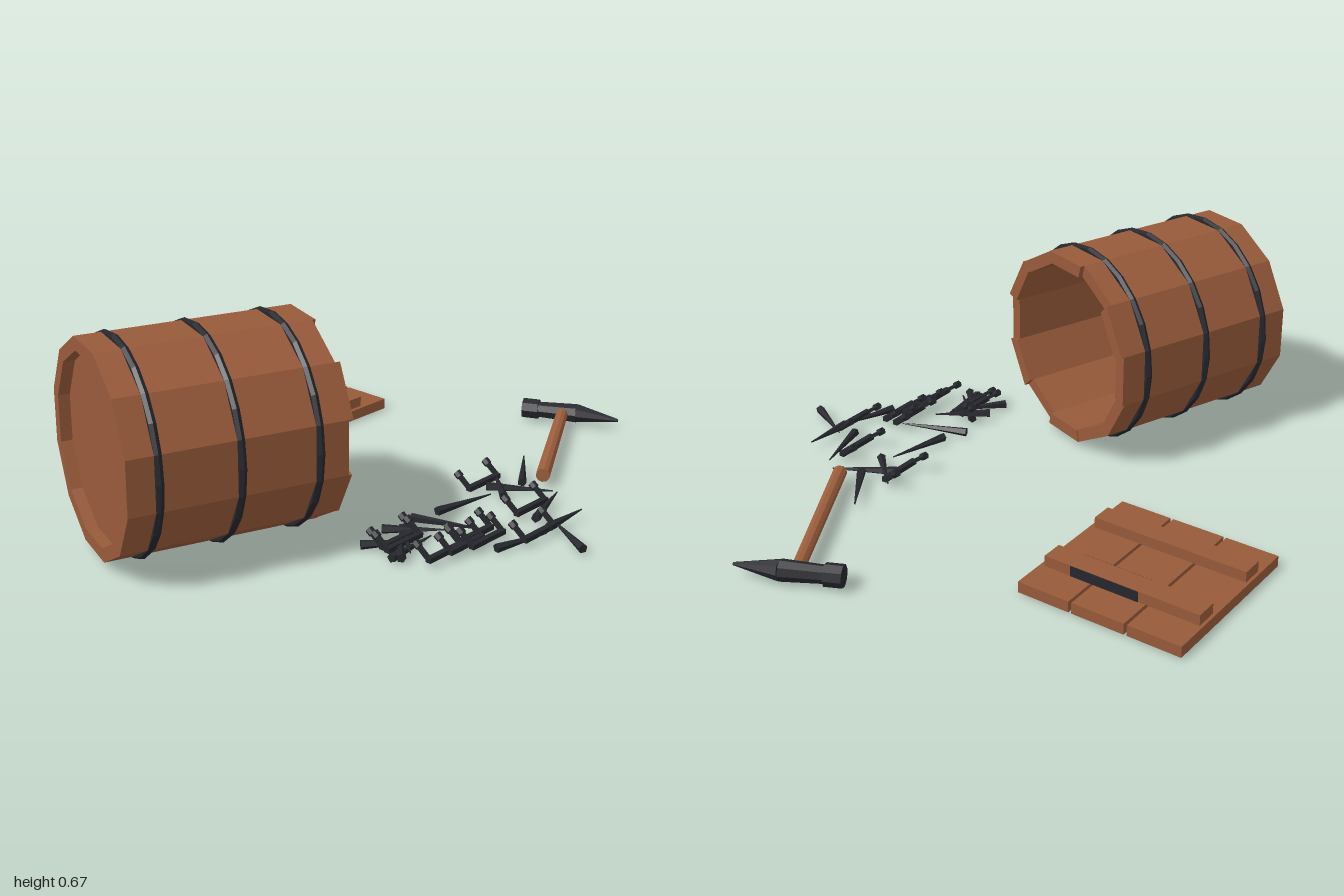
import * as THREE from 'three';

const colour = (name, hex) => {
  const m = new THREE.MeshStandardMaterial({ color: hex });
  m.name = name;
  return m;
};

export function createModel() {
  const wood = colour('brown wood', 0x985a3a);
  const handleWood = colour('handle wood', 0x9c5e3c);
  const iron = colour('dark iron', 0x26272d);
  const root = new THREE.Group();
  root.name = 'barrelAndTools';

  const group = (name, parent = root) => {
    const g = new THREE.Group();
    g.name = name;
    parent.add(g);
    return g;
  };

  // Faceted mesh: separate faces give flat normals
  const add = (parent, name, geometry, material) => {
    const g = geometry.index ? geometry.toNonIndexed() : geometry;
    g.computeVertexNormals();
    const mesh = new THREE.Mesh(g, material);
    mesh.name = name;
    parent.add(mesh);
    return mesh;
  };

  const box = (parent, name, material, x0, x1, y0, y1, z0, z1) => {
    const mesh = add(parent, name, new THREE.BoxGeometry(x1 - x0, y1 - y0, z1 - z0), material);
    mesh.position.set((x0 + x1) / 2, (y0 + y1) / 2, (z0 + z1) / 2);
    return mesh;
  };

  // Tapered rod between two points
  const up = new THREE.Vector3(0, 1, 0);
  const rod = (parent, name, material, from, to, rFrom, rTo, sides) => {
    const a = new THREE.Vector3(...from), b = new THREE.Vector3(...to);
    const dir = b.clone().sub(a), length = dir.length();
    const g = new THREE.CylinderGeometry(rTo, rFrom, length, sides, 1, false, Math.PI / sides);
    const mesh = add(parent, name, g, material);
    mesh.position.copy(a).add(b).multiplyScalar(0.5);
    mesh.quaternion.setFromUnitVectors(up, dir.normalize());
    return mesh;
  };

  // Barrel on its side, open end along its local +z
  const barrel = group('barrel');
  barrel.position.set(-0.58, 0.34, -0.035);
  barrel.rotation.y = Math.PI / 2 - 0.35;
  const outer = 0.328, inner = 0.286, half = Math.PI / 12;
  const uneven = [0, 0.008, -0.012, 0.004, -0.006, 0.01, -0.004, 0.006, -0.01, 0.005, 0, -0.008];
  for (let i = 0; i < 12; i++) {
    const t = i * Math.PI / 6;
    const corner = (r, a) => new THREE.Vector2(r * Math.cos(a), r * Math.sin(a));
    const profile = new THREE.Shape([
      corner(inner, t - half), corner(outer, t - half),
      corner(outer, t + half), corner(inner, t + half),
    ]);
    const length = 0.672 + uneven[i];
    const stave = add(barrel, 'stave', new THREE.ExtrudeGeometry(profile, { depth: length, bevelEnabled: false }), wood);
    stave.position.z = -0.336;
  }
  const end = add(barrel, 'barrelBottom', new THREE.CylinderGeometry(0.29, 0.29, 0.03, 12, 1, false, half), wood);
  end.rotation.x = Math.PI / 2;
  end.position.z = -0.285;
  for (const z of [-0.243, 0, 0.24]) {
    add(barrel, 'hoop', new THREE.TorusGeometry(0.322, 0.013, 6, 24), iron).position.z = z;
  }

  // Lid of three planks and two battens
  const lid = group('lid');
  for (const [z0, z1] of [[-0.89, -0.715], [-0.705, -0.53], [-0.52, -0.345]]) {
    box(lid, 'lidPlank', wood, 0.035, 0.588, 0.004, 0.04, z0, z1);
  }
  for (const x of [0.142, 0.404]) {
    box(lid, 'lidBatten', wood, x, x + 0.072, 0.04, 0.075, -0.88, -0.36);
  }
  for (const x of [0.402, 0.476]) {
    box(lid, 'battenDarkPatch', iron, x, x + 0.002, 0.04, 0.074, -0.68, -0.45);
  }

  // Hammer lying flat
  const hammer = group('hammer');
  rod(hammer, 'hammerHandle', handleWood, [0.408, 0.043, 0.495], [0.905, 0.043, 0.213], 0.023, 0.021, 10);
  rod(hammer, 'hammerFace', iron, [0.858, 0.042, 0.077], [0.882, 0.042, 0.128], 0.036, 0.036, 8);
  rod(hammer, 'hammerBody', iron, [0.88, 0.042, 0.125], [0.94, 0.042, 0.25], 0.028, 0.034, 8);
  rod(hammer, 'hammerPeen', iron, [0.94, 0.042, 0.25], [0.99, 0.038, 0.39], 0.034, 0.005, 8);

  // Staples: a bar with two raised legs; x and z of the bar's middle
  const staples = group('staples');
  const places = [
    [0.268, 0.365], [0.22, 0.59], [0.088, 0.72], [-0.207, 0.6], [-0.125, 0.612],
    [-0.053, 0.635], [-0.053, 0.59], [-0.24, 0.47], [-0.235, 0.445],
  ];
  for (const [x, z] of places) {
    const staple = group('staple', staples);
    box(staple, 'stapleBar', iron, x - 0.077, x + 0.077, 0.018, 0.034, z - 0.009, z + 0.009);
    for (const side of [-0.071, 0.071]) {
      const lx = x + side;
      rod(staple, 'stapleLeg', iron, [lx, 0.026, z], [lx, 0.058, z - 0.043], 0.009, 0.009, 4);
      rod(staple, 'stapleTip', iron, [lx, 0.055, z - 0.038], [lx, 0.066, z - 0.054], 0.013, 0.013, 6);
    }
  }

  // Loose nails: head x, z then tip x, z
  const nails = group('nails');
  const lines = [
    [-0.08, 0.36, 0, 0.575], [0, 0.395, 0.21, 0.44], [0.345, 0.46, 0.52, 0.335],
    [0.265, 0.38, 0.375, 0.56], [0.23, 0.475, 0.355, 0.34], [0.155, 0.655, 0.355, 0.59],
    [-0.07, 0.68, 0.11, 0.73], [0.09, 0.875, 0.185, 0.7], [0.13, 0.72, 0.3, 0.722],
    [-0.325, 0.375, -0.18, 0.5], [-0.32, 0.53, -0.19, 0.41], [-0.22, 0.365, -0.1, 0.51],
    [-0.33, 0.5, -0.14, 0.49], [-0.16, 0.395, -0.28, 0.53],
  ];
  lines.forEach(([hx, hz, tx, tz], i) => {
    const y = 0.016 + (i % 3) * 0.006;
    rod(nails, 'nail', iron, [hx, y, hz], [tx, y + 0.003, tz], 0.015, 0.002, 5);
  });

  return root;
}
